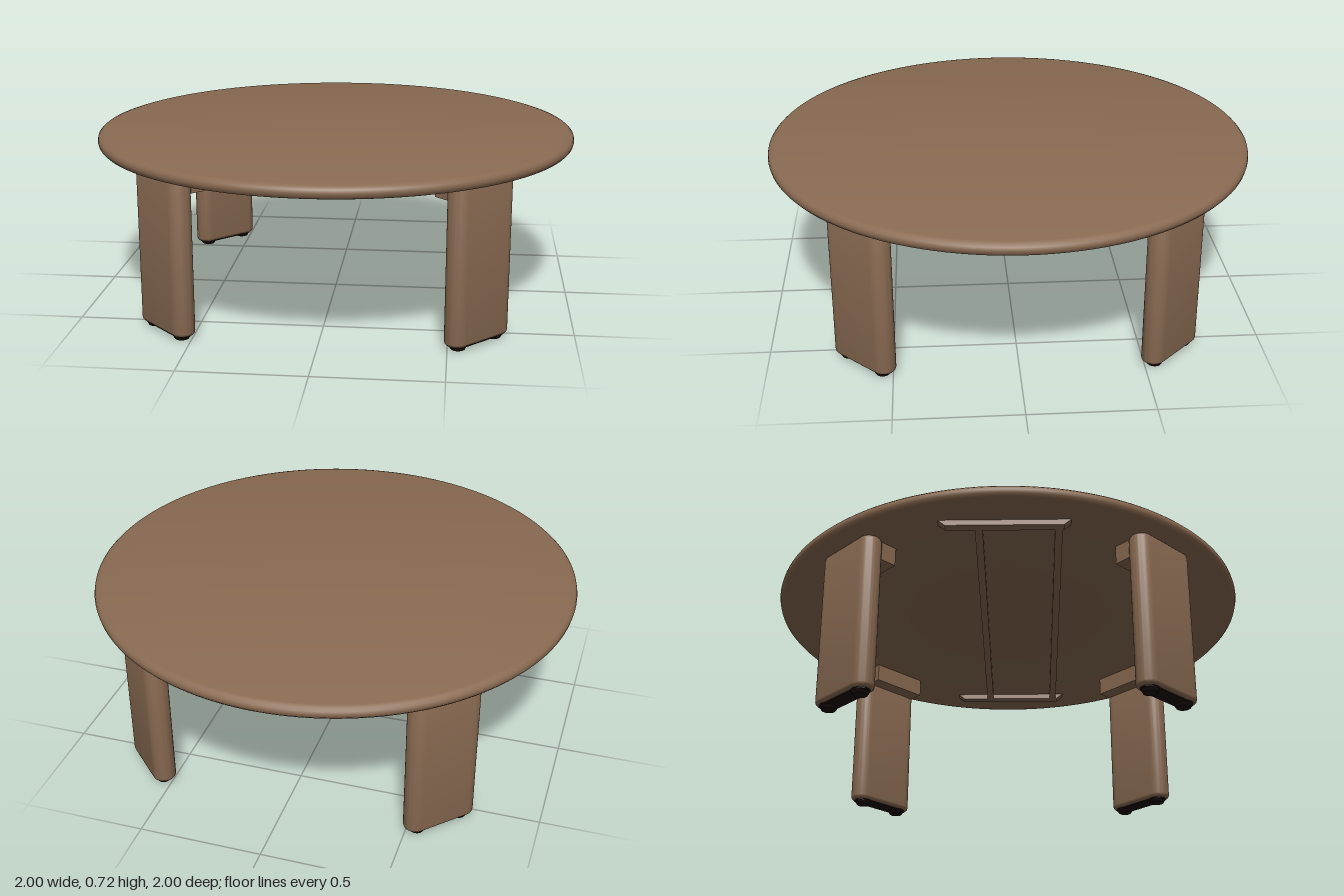
import * as THREE from 'three';
import { toCreasedNormals } from 'three/addons/utils/BufferGeometryUtils.js';

export function createModel() {
  const wood = new THREE.MeshStandardMaterial({ color: 0x8a6b52 });
  wood.name = 'brown wood';
  const rubber = new THREE.MeshStandardMaterial({ color: 0x1a0d0b });
  rubber.name = 'dark foot rubber';

  const table = new THREE.Group();
  table.name = 'roundTable';

  function add(parent, name, geometry, material, x = 0, y = 0, z = 0) {
    const mesh = new THREE.Mesh(geometry, material);
    mesh.name = name;
    mesh.position.set(x, y, z);
    parent.add(mesh);
    return mesh;
  }

  // Round top with a softened rim
  const profile = [[0, 0.668], [0.975, 0.668], [0.988, 0.672], [0.997, 0.682], [1, 0.695],
    [0.997, 0.708], [0.988, 0.717], [0.972, 0.722], [0, 0.722]].map(([r, y]) => new THREE.Vector2(r, y));
  add(table, 'tableTop', toCreasedNormals(new THREE.LatheGeometry(profile, 128), 0.6), wood);

  // Upright slab with fully rounded sides, standing from y0 to y1
  function slab(width, depth, y0, y1, bevel) {
    const r = depth / 2 - bevel;
    const c = width / 2 - depth / 2;
    const shape = new THREE.Shape();
    shape.absarc(c, 0, r, -Math.PI / 2, Math.PI / 2, false);
    shape.absarc(-c, 0, r, Math.PI / 2, Math.PI * 1.5, false);
    shape.closePath();
    const g = new THREE.ExtrudeGeometry(shape, {
      depth: y1 - y0 - 2 * bevel, bevelEnabled: bevel > 0, bevelSize: bevel,
      bevelThickness: bevel, bevelSegments: 3, curveSegments: 14,
    });
    g.rotateX(-Math.PI / 2);
    g.translate(0, y0 + bevel, 0);
    return toCreasedNormals(g, 0.6);
  }

  // Four legs on the diagonals, broad faces turned outward
  const legGeometry = slab(0.308, 0.096, 0.018, 0.672, 0.016);
  const soleGeometry = slab(0.276, 0.066, 0.013, 0.02, 0);
  const padGeometry = new THREE.CylinderGeometry(0.038, 0.028, 0.018, 20);
  const bracketGeometry = new THREE.BoxGeometry(0.26, 0.08, 0.07);
  for (let i = 0; i < 4; i++) {
    const leg = new THREE.Group();
    leg.name = 'leg' + (i + 1);
    leg.rotation.y = Math.PI / 4 + i * Math.PI / 2;
    add(leg, 'legSlab', legGeometry, wood, 0, 0, 0.863);
    add(leg, 'legSole', soleGeometry, rubber, 0, 0, 0.863);
    add(leg, 'legBracket', bracketGeometry, wood, 0, 0.63, 0.785);
    for (const side of [-1, 1]) add(leg, 'footPad', padGeometry, rubber, side * 0.098, 0.009, 0.863);
    table.add(leg);
  }

  // Underside rails, tapering at both ends
  function rail(length, width) {
    const h = length / 2;
    const shape = new THREE.Shape();
    shape.moveTo(-h, 0.67);
    shape.lineTo(-h + 0.03, 0.645);
    shape.lineTo(h - 0.03, 0.645);
    shape.lineTo(h, 0.67);
    shape.closePath();
    const g = new THREE.ExtrudeGeometry(shape, { depth: width, bevelEnabled: false });
    g.translate(0, 0, -width / 2);
    return g;
  }
  for (const z of [-0.1, 0.21]) add(table, 'longRail', rail(1.64, 0.03), wood, 0, 0, z);
  for (const side of [-1, 1]) {
    add(table, 'shortRail', rail(0.72, 0.03), wood, 0, 0, side * 0.67);
    add(table, 'endRail', rail(0.52, 0.04), wood, side * 0.81, 0, 0).rotation.y = Math.PI / 2;
  }

  return table;
}
